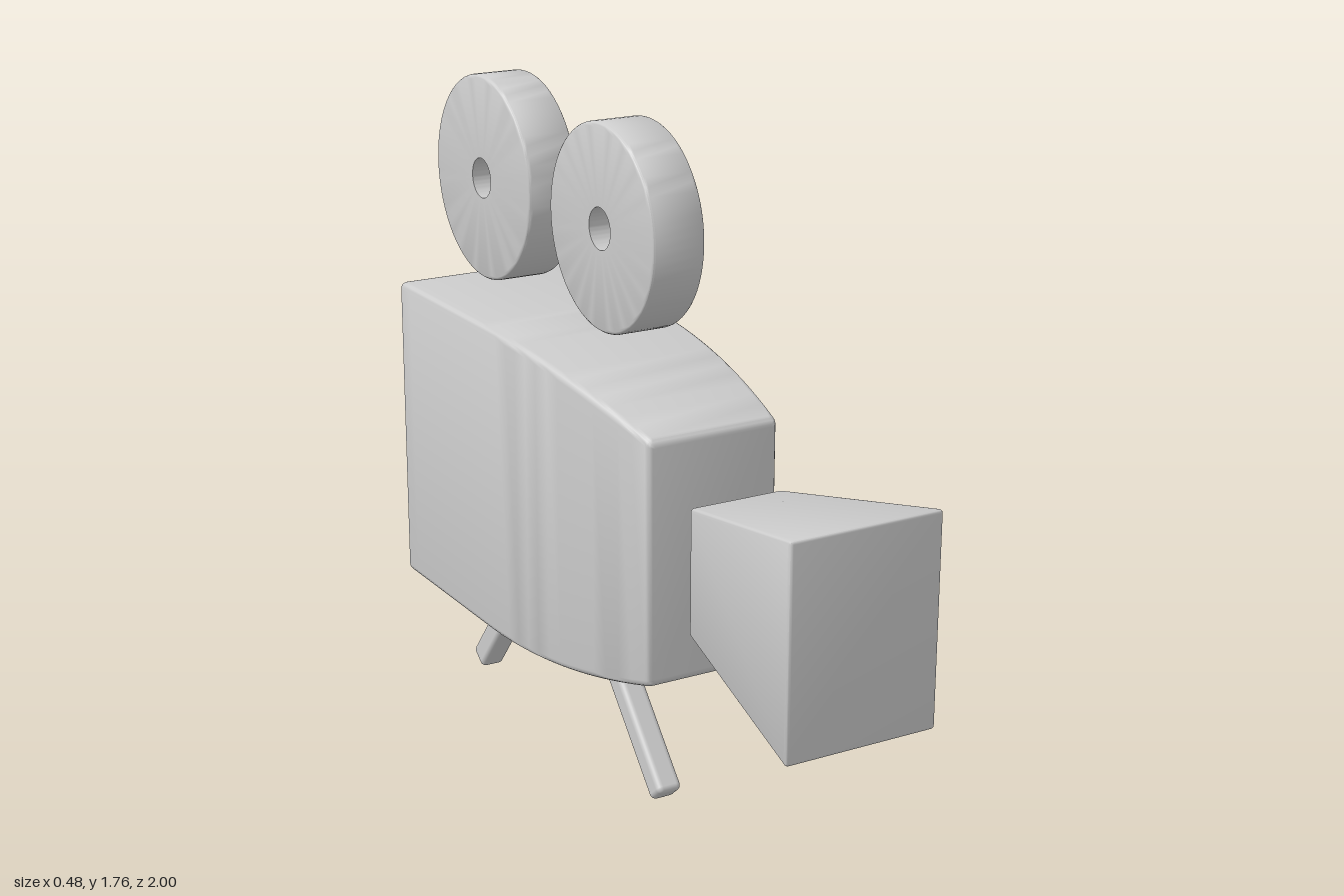
import * as THREE from 'three';
import { toCreasedNormals } from 'three/addons/utils/BufferGeometryUtils.js';
import { RoundedBoxGeometry } from 'three/addons/geometries/RoundedBoxGeometry.js';

const material = new THREE.MeshStandardMaterial({ color: 0xcccccc });
const CREASE = 0.6;

function addMesh(group, name, geometry) {
  const mesh = new THREE.Mesh(geometry, material);
  mesh.name = name;
  group.add(mesh);
  return mesh;
}

// Rounded rectangle, counter-clockwise seen from +z
function sectionPoints(halfW, y0, y1, r) {
  const points = [];
  const corners = [[1, 1], [-1, 1], [-1, -1], [1, -1]];
  corners.forEach(([sx, sy], q) => {
    const cx = sx * (halfW - r);
    const cy = sy > 0 ? y1 - r : y0 + r;
    for (let k = 0; k <= 4; k++) {
      const a = (q + k / 4) * Math.PI / 2;
      points.push([cx + r * Math.cos(a), cy + r * Math.sin(a)]);
    }
  });
  return points;
}

// Block from z0 to z1 with soft edges; shape(z) gives [halfWidth, bottom, top]
function loftBlock(z0, z1, r, steps, shape) {
  const slices = [];
  for (let k = 0; k < 4; k++) {
    const a = k / 4 * Math.PI / 2;
    slices.push([z0 + r * (1 - Math.sin(a)), r * (1 - Math.cos(a))]);
  }
  // the end arcs run from the flat cap (full inset) to the side (no inset)
  const arc = [0, 1, 2, 3].map((k) => {
    const a = k / 4 * Math.PI / 2;
    return [r * (1 - Math.cos(a)), r * (1 - Math.sin(a))];
  });
  slices.length = 0;
  arc.forEach(([dz, inset]) => slices.push([z0 + dz, inset]));
  for (let i = 0; i <= steps; i++) slices.push([z0 + r + (z1 - z0 - 2 * r) * i / steps, 0]);
  arc.slice().reverse().forEach(([dz, inset]) => slices.push([z1 - dz, inset]));

  const positions = [], index = [];
  let n = 0;
  slices.forEach(([z, inset]) => {
    const [w, y0, y1] = shape(z);
    const pts = sectionPoints(w - inset, y0 + inset, y1 - inset, Math.max(r - inset, 0.001));
    n = pts.length;
    pts.forEach(([x, y]) => positions.push(x, y, z));
  });
  for (let i = 0; i < slices.length - 1; i++) {
    for (let j = 0; j < n; j++) {
      const a = i * n + j, b = i * n + (j + 1) % n;
      index.push(a, b, b + n, a, b + n, a + n);
    }
  }
  // flat end caps
  const last = (slices.length - 1) * n;
  for (let j = 1; j < n - 1; j++) {
    index.push(0, j + 1, j);
    index.push(last, last + j, last + j + 1);
  }
  const geometry = new THREE.BufferGeometry();
  geometry.setAttribute('position', new THREE.Float32BufferAttribute(positions, 3));
  geometry.setIndex(index);
  return toCreasedNormals(geometry, CREASE);
}

// Film reel with a round hole, axis along x
function reelGeometry(radius, hole, halfW, bevel) {
  const profile = [new THREE.Vector2(hole, -halfW)];
  for (const side of [-1, 1]) {
    for (let k = 0; k <= 4; k++) {
      const a = (side < 0 ? k / 4 - 1 : k / 4) * Math.PI / 2;
      profile.push(new THREE.Vector2(
        radius - bevel + bevel * Math.cos(a),
        side * (halfW - bevel) + bevel * Math.sin(a)));
    }
  }
  profile.push(new THREE.Vector2(hole, halfW), new THREE.Vector2(hole, -halfW));
  const geometry = new THREE.LatheGeometry(profile, 64);
  geometry.rotateZ(Math.PI / 2);
  return toCreasedNormals(geometry, CREASE);
}

export function createModel() {
  const model = new THREE.Group();
  model.name = 'movieCamera';

  // Body, curving inward towards the front
  addMesh(model, 'body', loftBlock(-0.91, 0.355, 0.018, 24, (z) => {
    const t = Math.max(0, (z + 0.4) / 0.755) ** 2;
    return [0.24 - 0.06 * t, 0.345 + 0.108 * t, 1.19 - 0.105 * t];
  }));

  // Flared lens hood
  addMesh(model, 'lensHood', loftBlock(0.455, 1, 0.01, 1, (z) => {
    const t = (z - 0.455) / 0.545;
    return [0.128 + 0.077 * t, 0.617 - 0.102 * t, 0.943 + 0.112 * t];
  }));

  // Film reels
  for (const [name, z, radius] of [['frontReel', -0.075, 0.265], ['rearReel', -0.724, 0.276]]) {
    addMesh(model, name, reelGeometry(radius, 0.054, 0.073, 0.012)).position.set(0, 1.496, z);
  }

  // Splayed legs, from foot to a point inside the body
  const legs = [
    ['frontLeg', [0, 0.025, 0.137], [0, 0.39, -0.185]],
    ['rearLeg', [0, 0.025, -0.897], [0, 0.39, -0.605]],
  ];
  for (const [name, from, to] of legs) {
    const foot = new THREE.Vector3(...from), top = new THREE.Vector3(...to);
    const dir = top.clone().sub(foot);
    const leg = addMesh(model, name, new RoundedBoxGeometry(0.07, dir.length(), 0.068, 3, 0.016));
    leg.position.copy(foot).add(top).multiplyScalar(0.5);
    leg.rotation.x = Math.atan2(dir.z, dir.y);
  }
  return model;
}
